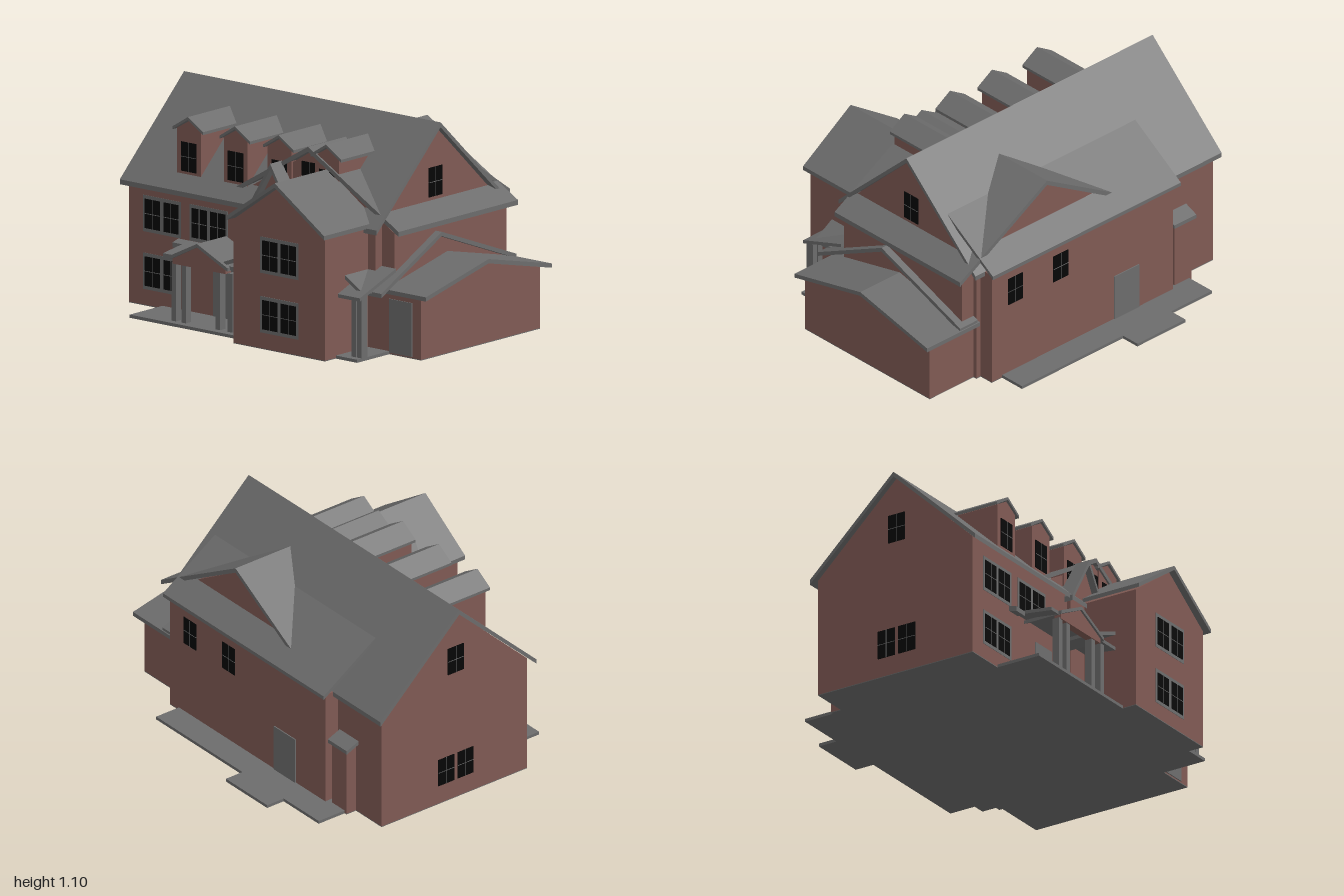
import * as THREE from 'three';

const material = (name, color) => {
  const m = new THREE.MeshStandardMaterial({ color });
  m.name = name;
  return m;
};

export function createModel() {
  const house = new THREE.Group();
  house.name = 'house';
  const brick = material('brick', 0x805a54);
  const grey = material('roofGrey', 0x6c6c6c);
  const glass = material('darkGlass', 0x060606);
  const base = 0.004; // walls stand on a thin grey foundation

  const add = (name, geometry, mat, parent = house) => {
    const mesh = new THREE.Mesh(geometry, mat);
    mesh.name = name;
    parent.add(mesh);
    return mesh;
  };

  // Box given by its limits
  const block = (name, mat, x0, x1, y0, y1, z0, z1, parent) => {
    const g = new THREE.BoxGeometry(x1 - x0, y1 - y0, z1 - z0);
    g.translate((x0 + x1) / 2, (y0 + y1) / 2, (z0 + z1) / 2);
    return add(name, g, mat, parent);
  };

  // Profile in (x, y) run along z, or in (z, y) run along x
  const prism = (name, mat, axis, pts, from, to) => {
    const sign = axis === 'x' ? -1 : 1;
    const shape = new THREE.Shape(pts.map(([u, y]) => new THREE.Vector2(sign * u, y)));
    const g = new THREE.ExtrudeGeometry(shape, { depth: to - from, bevelEnabled: false });
    g.translate(0, 0, from);
    if (axis === 'x') g.rotateY(Math.PI / 2);
    return add(name, g, mat);
  };

  // Roof sheet: top line of the profile with a thickness below it
  const roof = (name, axis, top, from, to, t = 0.025) =>
    prism(name, grey, axis, [...top, ...top.map(([u, y]) => [u, y - t]).reverse()], from, to);

  // Window with optional surround, facing +z before being turned
  const windowAt = (name, x, y, z, turn = 0, panes = 1, framed = false) => {
    const g = new THREE.Group();
    g.name = name;
    g.position.set(x, y, z);
    g.rotation.y = turn;
    house.add(g);
    if (framed) block('windowSurround', grey, -0.125, 0.125, -0.093, 0.093, 0, 0.002, g);
    for (let i = 0; i < panes; i++) {
      const c = panes === 2 ? (i - 0.5) * 0.122 : 0;
      block('pane', glass, c - 0.05, c + 0.05, -0.075, 0.075, 0, 0.004, g);
      block('muntin', grey, c - 0.0015, c + 0.0015, -0.075, 0.075, 0, 0.005, g);
      block('muntin', grey, c - 0.05, c + 0.05, -0.0015, 0.0015, 0, 0.005, g);
    }
  };

  // Foundation plates under the main house, rear, front wing, side wing and lean-to
  for (const [x0, x1, z0, z1] of [[-0.97, 0.65, -0.48, 0.445], [-0.62, 0.62, -0.56, -0.48],
    [0, 0.6, 0.445, 0.773], [0.65, 0.95, -0.46, 0.445], [-0.765, -0.65, -0.54, -0.48]])
    block('foundation', grey, x0, x1, 0, base, z0, z1);

  // Main house
  prism('mainWalls', brick, 'x',
    [[0.445, base], [0.445, 0.635], [-0.01, 1.07], [-0.48, 0.63], [-0.48, base]], -0.97, 0.65);
  roof('mainRoof', 'x', [[0.48, 0.63], [-0.01, 1.095], [-0.51, 0.63]], -1, 0.685);

  // Rear extension under a flatter roof
  block('rearWalls', brick, -0.62, 0.62, base, 0.63, -0.56, -0.4);
  roof('rearRoof', 'x', [[-0.26, 0.863], [-0.59, 0.645]], -0.645, 0.64, 0.02);

  // Cross gable, its right slope running down over the side wall
  prism('crossGableWalls', brick, 'z',
    [[-0.25, 0.6], [-0.25, 0.68], [0.18, 0.938], [0.73, 0.608], [0.73, base], [0.6, base], [0.6, 0.6]],
    -0.46, 0.395);
  roof('crossGableRoof', 'z', [[-0.32, 0.675], [0.18, 0.968], [0.775, 0.625]], -0.495, 0.415);

  // Front wing
  prism('frontWingWalls', brick, 'z',
    [[0, base], [0, 0.635], [0.297, 0.842], [0.6, 0.635], [0.6, base]], 0.3, 0.773);
  roof('frontWingRoof', 'z', [[-0.02, 0.655], [0.297, 0.87], [0.622, 0.65]], 0.25, 0.805, 0.022);

  // Narrow entry bay with a steep gable
  prism('entryBayWalls', brick, 'z',
    [[-0.125, base], [-0.125, 0.61], [0, 0.825], [0.125, 0.61], [0.125, base]], 0.25, 0.465);
  roof('entryBayRoof', 'z', [[-0.15, 0.62], [0, 0.868], [0.15, 0.62]], 0.23, 0.495, 0.03);

  // Low side wing
  prism('sideWingWalls', brick, 'x',
    [[0.445, base], [0.445, 0.315], [-0.01, 0.425], [-0.46, 0.315], [-0.46, base]], 0.64, 0.95);
  roof('sideWingRoof', 'x', [[0.468, 0.335], [-0.01, 0.445], [-0.495, 0.335]], 0.64, 1, 0.022);
  roof('sideUpperRoof', 'x', [[0.54, 0.33], [0.08, 0.565], [-0.49, 0.35]], 0.65, 0.77, 0.022);

  // Dormers
  for (const x of [-0.61, -0.302, -0.015, 0.297]) {
    prism('dormerWalls', brick, 'z',
      [[x - 0.078, 0.69], [x - 0.078, 0.93], [x, 0.975], [x + 0.078, 0.93], [x + 0.078, 0.69]],
      0.1, 0.405);
    roof('dormerRoof', 'z', [[x - 0.1, 0.935], [x, 0.997], [x + 0.1, 0.935]], 0.07, 0.415, 0.015);
    windowAt('dormerWindow', x, 0.79, 0.405);
  }

  // Front porch
  block('frontPorchFloor', grey, -0.75, 0, 0, 0.016, 0.4, 0.695);
  roof('frontPorchRoof', 'x', [[0.44, 0.378], [0.65, 0.35]], -0.57, 0.01, 0.018);
  roof('frontPorchEnd', 'x', [[0.44, 0.378], [0.49, 0.365]], -0.645, -0.57, 0.025);
  roof('porticoRoof', 'z', [[-0.51, 0.35], [-0.33, 0.438], [-0.13, 0.345]], 0.445, 0.67, 0.018);
  prism('porticoPediment', brick, 'z',
    [[-0.5, 0.31], [-0.5, 0.335], [-0.33, 0.42], [-0.15, 0.335], [-0.15, 0.31]], 0.62, 0.66);
  roof('porchLeanRoof', 'z', [[-0.24, 0.34], [0.01, 0.44]], 0.45, 0.65, 0.02);
  for (const x of [-0.495, -0.43, -0.205, -0.125])
    block('porticoColumn', grey, x - 0.015, x + 0.015, 0.016, 0.315, 0.615, 0.655);

  // Side porch
  block('sidePorchFloor', grey, 0.6, 0.74, 0, 0.016, 0.39, 0.69);
  roof('sidePorchRoof', 'x', [[0.4, 0.43], [0.675, 0.328]], 0.59, 0.745, 0.018);
  roof('sidePorchHip', 'z', [[0.59, 0.42], [0.71, 0.345]], 0.45, 0.62, 0.02);
  for (const x of [0.688, 0.725])
    block('sidePorchColumn', grey, x - 0.015, x + 0.015, 0.016, 0.33, 0.61, 0.655);

  // Rear terrace and small lean-to
  block('terrace', grey, -0.75, 0.55, 0, 0.016, -0.705, -0.45);
  block('terraceStep', grey, -0.47, -0.14, 0, 0.016, -0.81, -0.7);
  block('leanToWalls', brick, -0.765, -0.65, base, 0.37, -0.54, -0.47);
  roof('leanToRoof', 'x', [[-0.47, 0.415], [-0.555, 0.38]], -0.785, -0.635, 0.02);

  // Doors
  block('frontDoor', grey, -0.415, -0.27, 0.016, 0.27, 0.445, 0.45);
  block('sideDoor', grey, 0.742, 0.892, 0.01, 0.285, 0.445, 0.45);
  block('rearDoor', grey, -0.385, -0.215, 0.016, 0.265, -0.566, -0.56);

  // Windows
  windowAt('upperWindow', -0.752, 0.472, 0.445, 0, 2, true);
  windowAt('upperWindow', -0.445, 0.472, 0.445, 0, 2, true);
  windowAt('lowerWindow', -0.752, 0.177, 0.445, 0, 2, true);
  windowAt('wingUpperWindow', 0.302, 0.482, 0.773, 0, 2, true);
  windowAt('wingLowerWindow', 0.302, 0.177, 0.773, 0, 2, true);
  windowAt('entryWindow', 0, 0.52, 0.465);
  windowAt('crossGableWindow', 0.175, 0.81, 0.395);
  windowAt('rightGableWindow', 0.65, 0.79, -0.01, Math.PI / 2);
  windowAt('leftGableWindow', -0.97, 0.8, -0.01, -Math.PI / 2);
  windowAt('leftLowerWindow', -0.97, 0.18, -0.01, -Math.PI / 2, 2);
  windowAt('rearWindow', 0.46, 0.485, -0.56, Math.PI);
  windowAt('rearWindow', 0.15, 0.485, -0.56, Math.PI);

  return house;
}
